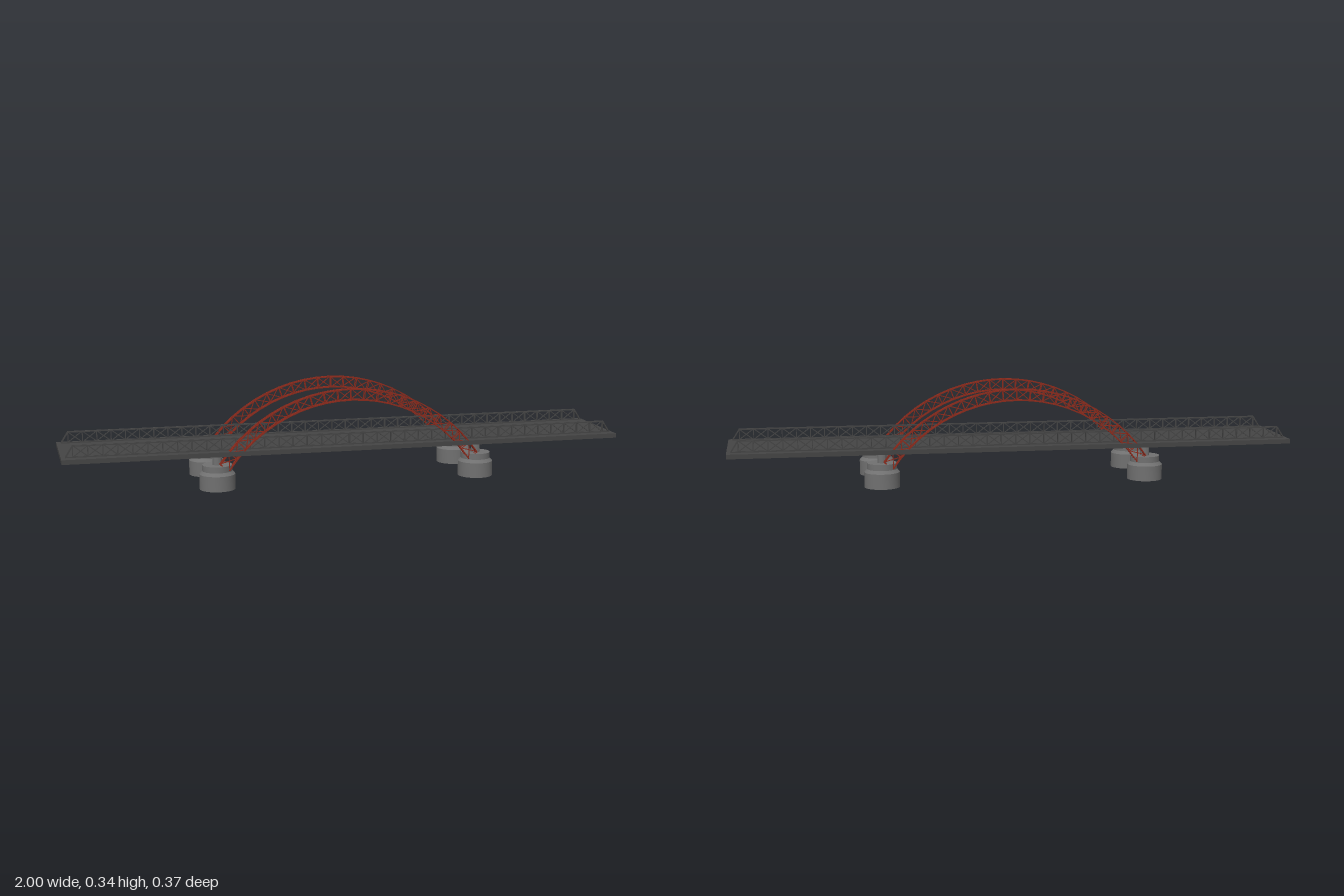
import * as THREE from 'three';
import { mergeGeometries, toCreasedNormals } from 'three/addons/utils/BufferGeometryUtils.js';

const steel = new THREE.MeshStandardMaterial({ color: 0x444444 });
const red = new THREE.MeshStandardMaterial({ color: 0x8b2a1c });
const stone = new THREE.MeshStandardMaterial({ color: 0x707070 });
const V = (x, y, z) => new THREE.Vector3(x, y, z);

// Square bar running between two points
function bar(a, b, t) {
  const g = new THREE.BoxGeometry(t, t, a.distanceTo(b) + t * 0.5);
  const m = new THREE.Object3D();
  m.position.copy(a).add(b).multiplyScalar(0.5);
  m.lookAt(b);
  m.updateMatrix();
  return g.applyMatrix4(m.matrix);
}

// Box truss from a list of stations, each with four corners:
// 0 upper outer, 1 upper inner, 2 lower outer, 3 lower inner
function truss(stations, chord, brace) {
  const parts = [];
  stations.forEach((s, i) => {
    for (const [a, b] of [[0, 1], [2, 3], [0, 2], [1, 3]]) parts.push(bar(s[a], s[b], brace));
    const n = stations[i + 1];
    if (!n) return;
    for (let k = 0; k < 4; k++) parts.push(bar(s[k], n[k], chord));
    // Diagonals alternate along the length and oppose each other on facing sides
    const flip = i % 2;
    for (const [a, b, c] of [[0, 2, 0], [1, 3, 1], [0, 1, 0], [2, 3, 1]]) {
      parts.push((flip ^ c) ? bar(s[a], n[b], brace) : bar(s[b], n[a], brace));
    }
  });
  return parts;
}

function mesh(name, geometry, material) {
  const m = new THREE.Mesh(geometry, material);
  m.name = name;
  return m;
}

export function createModel() {
  const bridge = new THREE.Group();
  bridge.name = 'archBridge';

  // Road deck
  const deck = mesh('deck', new THREE.BoxGeometry(2, 0.016, 0.33), steel);
  deck.position.y = 0.126;
  bridge.add(deck);

  // Stepped round pier with a slim column up to the deck
  const profile = [[0, 0], [0.062, 0], [0.062, 0.053], [0.052, 0.064], [0.052, 0.085],
    [0.016, 0.085], [0.016, 0.12], [0, 0.12]].map(p => new THREE.Vector2(...p));
  const pierGeometry = toCreasedNormals(new THREE.LatheGeometry(profile, 32), 0.5);

  // Arch stations on two concentric arcs
  const centreY = -0.227, rOut = 0.562, rIn = 0.524, panels = 22;
  const archStations = [];
  const endAngle = 0.972;
  for (let i = 0; i <= panels; i++) {
    const a = -endAngle + (2 * endAngle * i) / panels;
    const at = (r, z) => V(r * Math.sin(a), centreY + r * Math.cos(a), z);
    archStations.push([at(rOut, 0.0085), at(rOut, -0.0085), at(rIn, 0.0085), at(rIn, -0.0085)]);
  }
  const archGeometry = mergeGeometries(truss(archStations, 0.0038, 0.0028));

  // Railing truss with sloping ends
  const railStations = [];
  const railPanels = 38, railEnd = 0.96, low = 0.137, high = 0.175, half = 0.0038;
  for (let i = 0; i <= railPanels; i++) {
    const x = -railEnd + (2 * railEnd * i) / railPanels;
    railStations.push([V(x, high, half), V(x, high, -half), V(x, low, half), V(x, low, -half)]);
  }
  const railParts = truss(railStations, 0.004, 0.003);
  for (const s of [-1, 1]) for (const z of [-half, half]) {
    railParts.push(bar(V(s * railEnd, high, z), V(s * 0.984, low, z), 0.004));
    railParts.push(bar(V(s * railEnd, low, z), V(s * 0.984, low, z), 0.004));
  }
  const railGeometry = mergeGeometries(railParts);

  // Place arch, railing and piers on both sides
  for (const s of [-1, 1]) {
    const side = s > 0 ? 'Front' : 'Back';
    const arch = mesh('arch' + side, archGeometry, red);
    arch.position.z = s * 0.153;
    const rail = mesh('railing' + side, railGeometry, steel);
    rail.position.z = s * 0.131;
    if (s < 0) arch.rotation.y = rail.rotation.y = Math.PI;
    bridge.add(arch, rail);
    for (const x of [-0.47, 0.47]) {
      const pier = mesh('pier' + side + (x > 0 ? 'Left' : 'Right'), pierGeometry, stone);
      pier.position.set(x, 0, s * 0.125);
      bridge.add(pier);
    }
  }
  return bridge;
}
